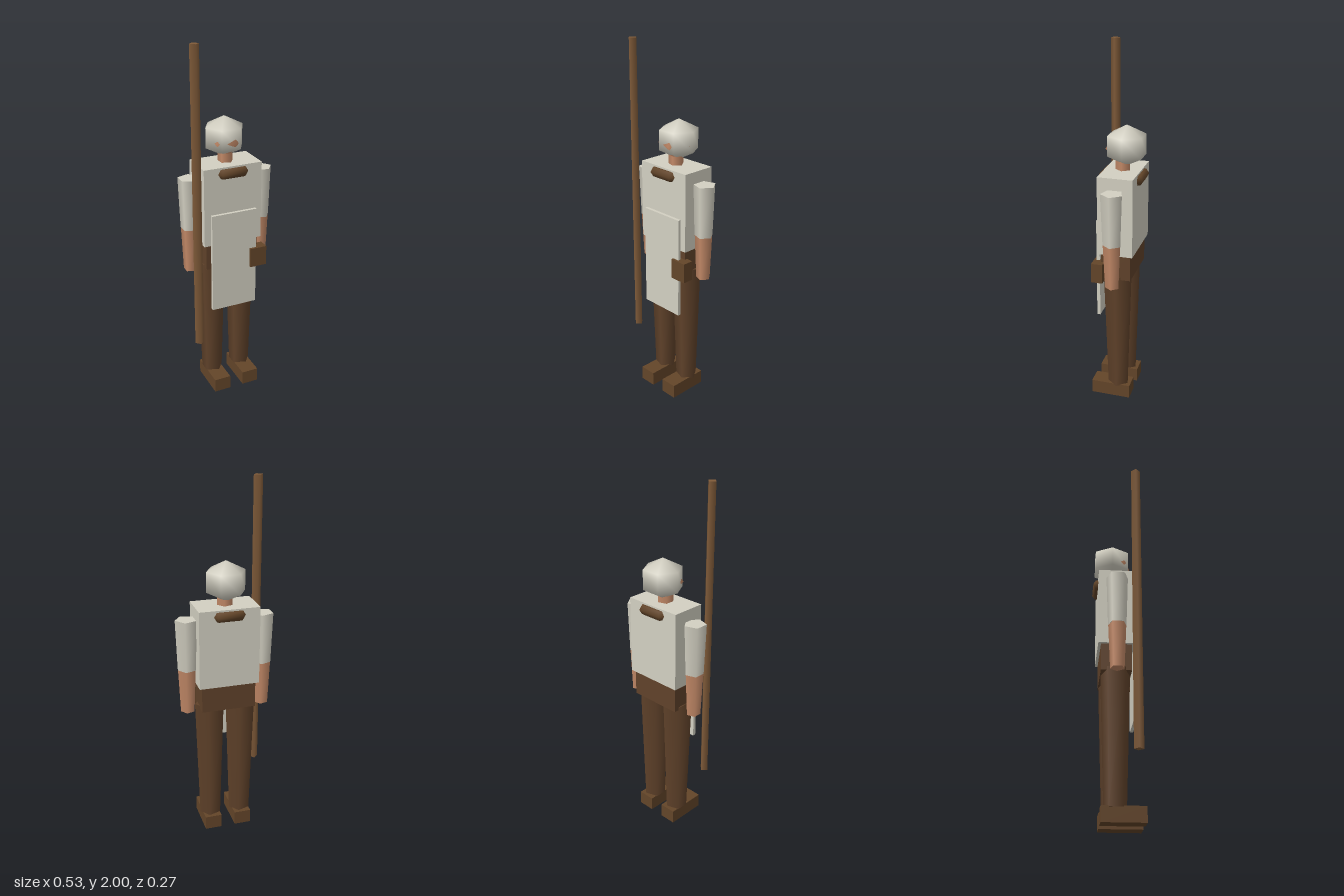
import * as THREE from 'three';

const material = (name, color) => {
  const m = new THREE.MeshStandardMaterial({ color });
  m.name = name;
  return m;
};

export function createModel() {
  const linen = material('linen', 0xd3d0c2);
  const skin = material('skin', 0xc48a68);
  const leather = material('leather', 0x634529);
  const trousers = material('trousers', 0x60422a);
  const wood = material('wood', 0x805b39);

  const model = new THREE.Group();
  model.name = 'staffBearer';
  const CX = -0.0075, CZ = -0.015; // body axis

  const add = (name, geometry, mat, x, y, z) => {
    const mesh = new THREE.Mesh(geometry, mat);
    mesh.name = name;
    mesh.position.set(x, y, z);
    model.add(mesh);
    return mesh;
  };
  const box = (name, mat, [x0, x1], [y0, y1], [z0, z1]) =>
    add(name, new THREE.BoxGeometry(x1 - x0, y1 - y0, z1 - z0), mat,
      (x0 + x1) / 2, (y0 + y1) / 2, (z0 + z1) / 2);
  // Tapered post with one corner pointing to +x
  const post = (name, mat, x, z, y0, y1, rBottom, rTop, sides = 5) =>
    add(name, new THREE.CylinderGeometry(rTop, rBottom, y1 - y0, sides).rotateY(Math.PI / 2),
      mat, x, (y0 + y1) / 2, z);

  // Trunk
  box('torso', linen, [-0.174, 0.159], [0.92, 1.355], [-0.111, 0.081]);
  box('hips', trousers, [-0.158, 0.143], [0.773, 0.92], [-0.096, 0.066]);
  box('apron', linen, [-0.137, 0.125], [0.53, 1.098], [0.08, 0.098]);
  box('pouch', leather, [0.085, 0.182], [0.757, 0.868], [0.05, 0.112]);

  // Six-sided collar ring, showing through the chest and back
  add('collar', new THREE.TorusGeometry(0.112, 0.029, 6, 6).rotateX(Math.PI / 2),
    leather, CX, 1.32, CZ);

  // Limbs
  for (const [side, s] of [['left', 1], ['right', -1]]) {
    const armX = CX + s * 0.2115, legX = CX + s * 0.088;
    post(side + 'Sleeve', linen, armX, CZ, 1.005, 1.29, 0.051, 0.061);
    post(side + 'Forearm', skin, armX, CZ, 0.757, 1.005, 0.039, 0.05);
    post(side + 'Leg', trousers, legX, CZ, 0.075, 0.79, 0.061, 0.083);
    box(side + 'Boot', leather, [legX - 0.048, legX + 0.048], [0, 0.08], [-0.09, 0.135]);
  }

  // Neck, face and hood
  post('neck', skin, CX, CZ, 1.34, 1.44, 0.042, 0.042);
  add('face', new THREE.SphereGeometry(1, 5, 2).rotateY(Math.PI).scale(0.096, 0.11, 0.096),
    skin, CX, 1.468, CZ);
  add('hood', new THREE.SphereGeometry(1, 6, 3).scale(0.1224, 0.11, 0.1224),
    linen, CX, 1.487, -0.033);

  // Staff
  post('staff', wood, -0.2175, 0.09, 0.338, 2, 0.0255, 0.0255, 4);

  return model;
}
